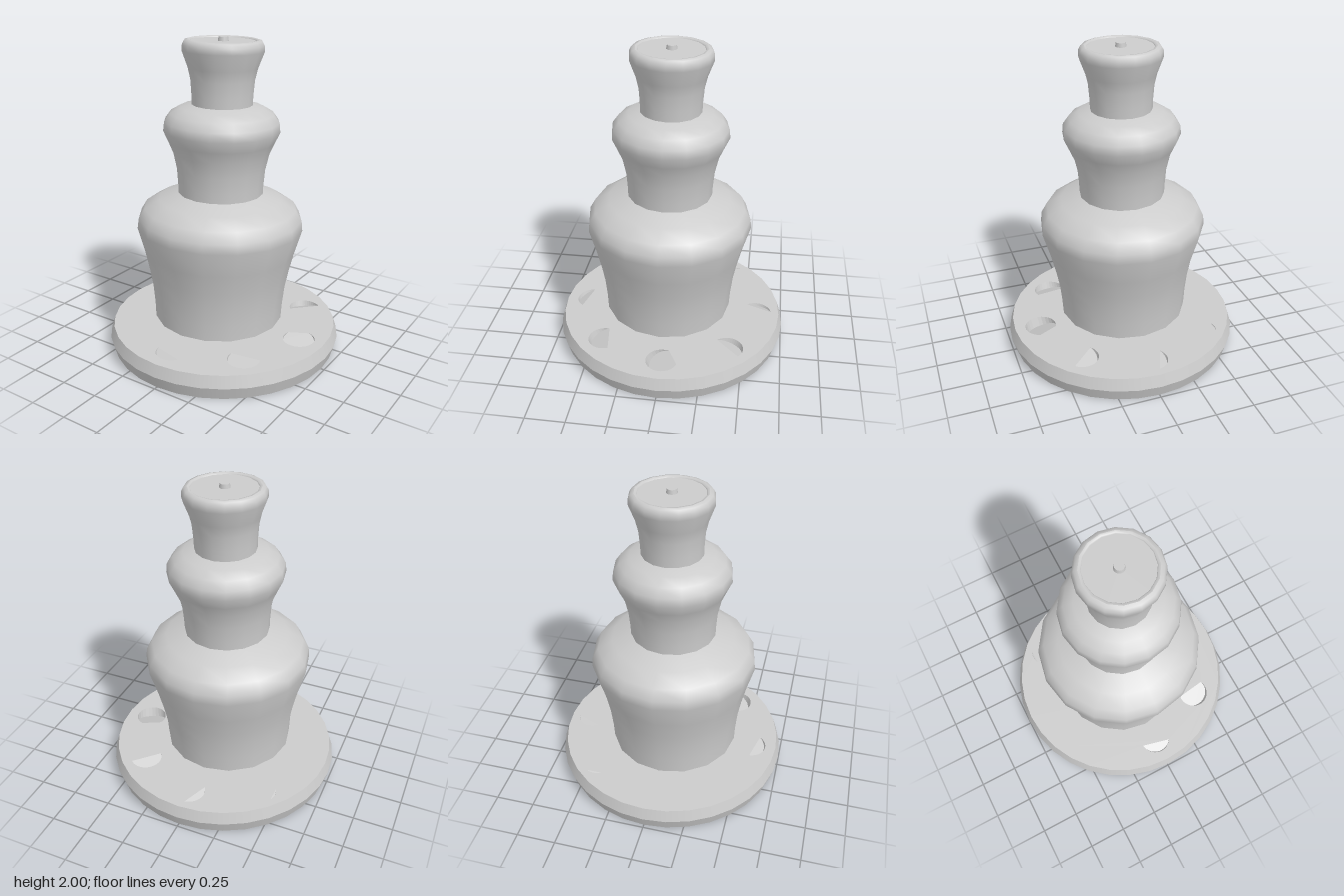
import * as THREE from 'three';

const grey = new THREE.MeshStandardMaterial({ color: 0xcccccc });
const greyDouble = new THREE.MeshStandardMaterial({ color: 0xcccccc, side: THREE.DoubleSide });

function add(parent, name, geometry, material = grey, y = 0) {
  const mesh = new THREE.Mesh(geometry, material);
  mesh.name = name;
  mesh.position.y = y;
  parent.add(mesh);
  return mesh;
}

const lathe = (profile, sides = 16) =>
  new THREE.LatheGeometry(profile.map(([r, y]) => new THREE.Vector2(r, y)), sides);

// Tilted round pockets: centre, direction of the deep side, distance from centre to the ramp's top edge
const POCKET_R = 0.1, SLOPE = 0.36, TOP = 0.155;
const pockets = [
  { x: -0.006, z: -0.576, dx: -0.926, dz: -0.376, d: 0.05 },
  { x: 0.39, z: -0.41, dx: -0.707, dz: -0.707, d: 0 },
  { x: 0.56, z: -0.01, dx: 0.45, dz: 0.89, d: -0.075 },
  { x: 0.4, z: 0.39, dx: 0.14, dz: 0.99, d: -0.03 },
  { x: -0.011, z: 0.559, dx: -0.236, dz: 0.97, d: 0.03 },
  { x: -0.42, z: -0.4, dx: -1, dz: 0, d: 0.088 },
];

// Rim arc of a pocket, each point with its depth below the top
function pocketRim({ x, z, dx, dz, d }) {
  const mid = Math.atan2(dz, dx), half = Math.acos(d / POCKET_R), n = 20;
  return Array.from({ length: n + 1 }, (_, i) => {
    const t = -half + (2 * half * i) / n;
    return {
      x: x + POCKET_R * Math.cos(mid + t),
      z: z + POCKET_R * Math.sin(mid + t),
      depth: Math.max(0, (POCKET_R * Math.cos(t) - d) * SLOPE),
    };
  });
}

// Leaning wall and sloped floor of one pocket
function pocketParts(pocket, rim) {
  const low = rim.map((p) => new THREE.Vector3(
    p.x - pocket.dx * p.depth * SLOPE, TOP - p.depth, p.z - pocket.dz * p.depth * SLOPE));
  const wall = [], floor = [];
  for (let i = 0; i < rim.length - 1; i++) {
    const a = new THREE.Vector3(rim[i].x, TOP, rim[i].z);
    const b = new THREE.Vector3(rim[i + 1].x, TOP, rim[i + 1].z);
    wall.push(a, b, low[i], b, low[i + 1], low[i]);
    if (i > 0) floor.push(low[0], low[i + 1], low[i]);
  }
  return [wall, floor].map((points) => {
    const g = new THREE.BufferGeometry().setFromPoints(points);
    g.computeVertexNormals();
    return g;
  });
}

function createBase() {
  const base = new THREE.Group();
  base.name = 'base';
  const SIDES = 32, EDGE = 0.728;

  // Bevelled rim and underside
  add(base, 'lowerRim', new THREE.CylinderGeometry(0.752, EDGE, 0.08, SIDES, 1, true), grey, 0.04);
  add(base, 'upperRim', new THREE.CylinderGeometry(EDGE, 0.752, 0.075, SIDES, 1, true), grey, 0.1175);
  add(base, 'underside', new THREE.CircleGeometry(EDGE, SIDES).rotateX(Math.PI / 2));

  // Top plate with pocket openings
  const plate = new THREE.Shape(Array.from({ length: SIDES }, (_, i) => {
    const a = (i / SIDES) * Math.PI * 2;
    return new THREE.Vector2(EDGE * Math.cos(a), EDGE * Math.sin(a));
  }));
  for (const pocket of pockets) {
    const rim = pocketRim(pocket);
    plate.holes.push(new THREE.Path(rim.map((p) => new THREE.Vector2(p.x, -p.z))));
    const [wall, floor] = pocketParts(pocket, rim);
    add(base, 'pocketWall', wall, greyDouble);
    add(base, 'pocketFloor', floor, greyDouble);
  }
  add(base, 'topPlate', new THREE.ShapeGeometry(plate).rotateX(-Math.PI / 2), grey, TOP);
  return base;
}

// Three stacked flaring tiers, leaning very slightly
function createTower() {
  const tower = new THREE.Group();
  tower.name = 'tower';
  tower.position.set(-0.028, 0, 0.03);
  tower.rotation.set(-0.015, 0, -0.012);

  add(tower, 'lowerTier', lathe([
    [0.415, 0.2], [0.42, 0.3], [0.432, 0.42], [0.452, 0.53], [0.482, 0.66], [0.527, 0.82],
    [0.52, 0.88], [0.483, 0.945], [0.39, 1.0], [0.26, 1.045]]));
  add(tower, 'lowerTierBottom', new THREE.CircleGeometry(0.415, 16).rotateX(Math.PI / 2), grey, 0.2);
  add(tower, 'middleTier', lathe([
    [0.268, 1.04], [0.27, 1.1], [0.278, 1.2], [0.3, 1.3], [0.33, 1.37], [0.362, 1.44],
    [0.356, 1.495], [0.32, 1.545], [0.26, 1.58], [0.18, 1.6]]));
  add(tower, 'upperTier', lathe([
    [0.188, 1.59], [0.19, 1.66], [0.197, 1.75], [0.213, 1.82], [0.25, 1.92],
    [0.248, 1.955], [0.235, 1.978], [0.215, 1.984]]));

  // Shallow dished top with a small knob
  add(tower, 'topLip', lathe([[0.215, 1.984], [0.202, 1.982], [0.198, 1.975]]));
  add(tower, 'topDish', new THREE.CircleGeometry(0.2, 16).rotateX(-Math.PI / 2), grey, 1.975);
  add(tower, 'knob', new THREE.CylinderGeometry(0.029, 0.034, 0.03, 16), grey, 1.985);
  return tower;
}

export function createModel() {
  const model = new THREE.Group();
  model.name = 'tieredFountain';
  model.add(createBase(), createTower());
  return model;
}
